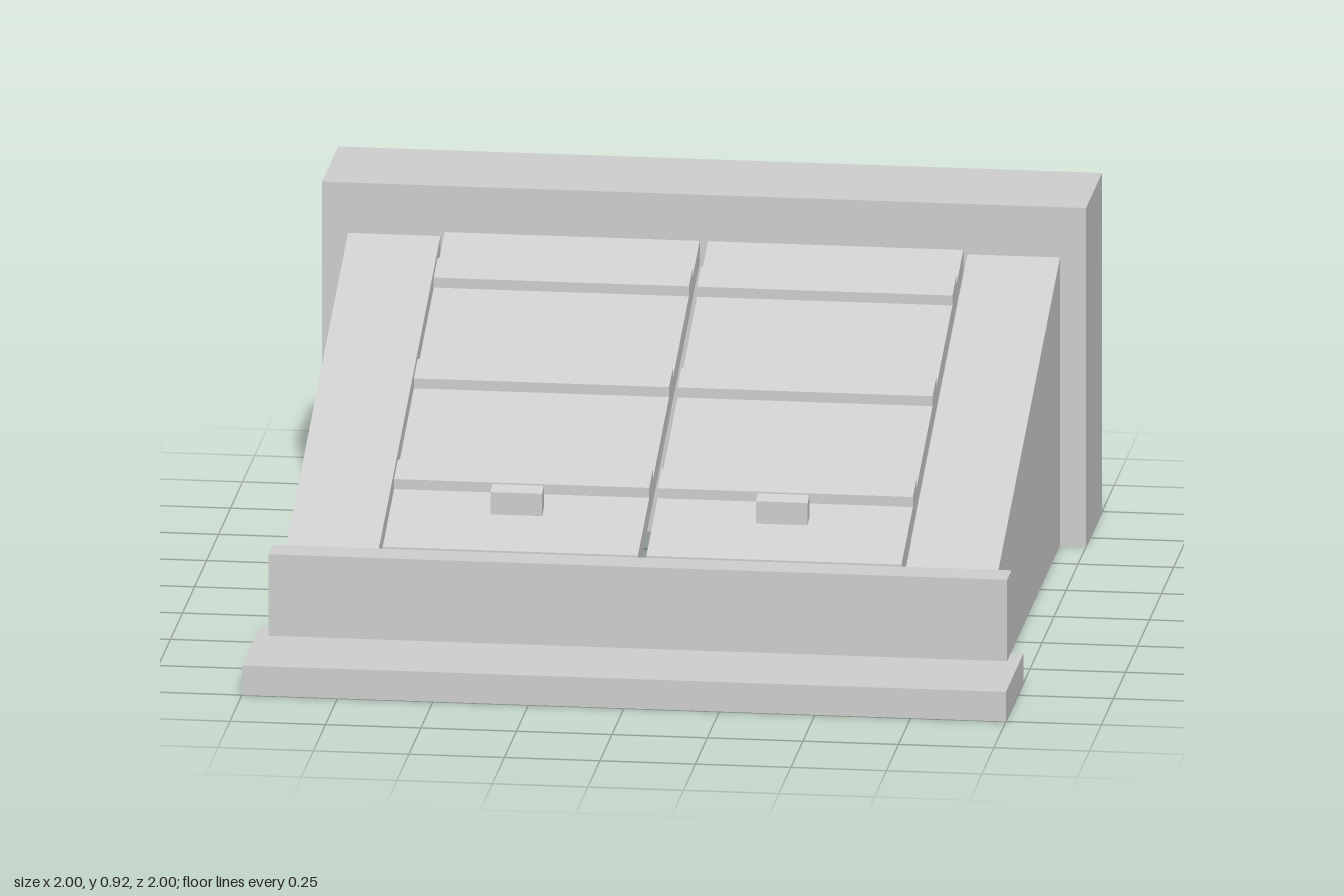
import * as THREE from 'three';

const stone = new THREE.MeshStandardMaterial({ color: 0xcccccc });
stone.name = 'plain grey';

// Extrudes a side profile of [z, y] points from x0 to x1
function prism(name, points, x0, x1) {
  const shape = new THREE.Shape(points.map(([z, y]) => new THREE.Vector2(-z, y)));
  const geo = new THREE.ExtrudeGeometry(shape, { depth: x1 - x0, bevelEnabled: false });
  geo.rotateY(Math.PI / 2).translate(x0, 0, 0);
  const mesh = new THREE.Mesh(geo, stone);
  mesh.name = name;
  return mesh;
}

// Box given by its limits
function block(name, x0, x1, y0, y1, z0, z1) {
  const geo = new THREE.BoxGeometry(x1 - x0, y1 - y0, z1 - z0);
  geo.translate((x0 + x1) / 2, (y0 + y1) / 2, (z0 + z1) / 2);
  const mesh = new THREE.Mesh(geo, stone);
  mesh.name = name;
  return mesh;
}

const FRONT = 0.622, BACK = -0.665;
const doorY = (z) => 0.305 + (FRONT - z) * 0.377; // top surface of the sloping doors

// Slanted slab following the door slope, between two heights above it
const slab = (z0, z1, low, high) => [
  [z1, doorY(z1) + low], [z1, doorY(z1) + high],
  [z0, doorY(z0) + high], [z0, doorY(z0) + low],
];

export function createModel() {
  const group = new THREE.Group();
  group.name = 'cellarHatch';

  // Back wall, front curb and step
  group.add(block('backWall', -1, 1, 0, 0.915, -1, BACK));
  group.add(block('frontCurb', -0.967, 0.967, 0, 0.3, FRONT, 0.712));
  group.add(block('frontStep', -1, 1, 0, 0.08, 0.633, 1));

  for (const side of [-1, 1]) {
    const label = side > 0 ? 'left' : 'right';
    const add = (name, points, a, b) =>
      group.add(prism(label + name, points, Math.min(side * a, side * b), Math.max(side * a, side * b)));

    // Sloping side wall
    add('SideWall', [[FRONT, 0], [FRONT, 0.295], [BACK, 0.779], [BACK, 0]], 0.69, 0.932);

    // Door leaf with three cross battens and a handle
    add('Door', slab(BACK, FRONT, -0.06, 0), 0.011, 0.679);
    for (const z of [-0.518, -0.106, 0.306]) add('Batten', slab(z, z + 0.08, -0.005, 0.027), 0.011, 0.679);
    add('Handle', slab(0.442, 0.475, -0.005, 0.06), 0.28, 0.415);
  }
  return group;
}
